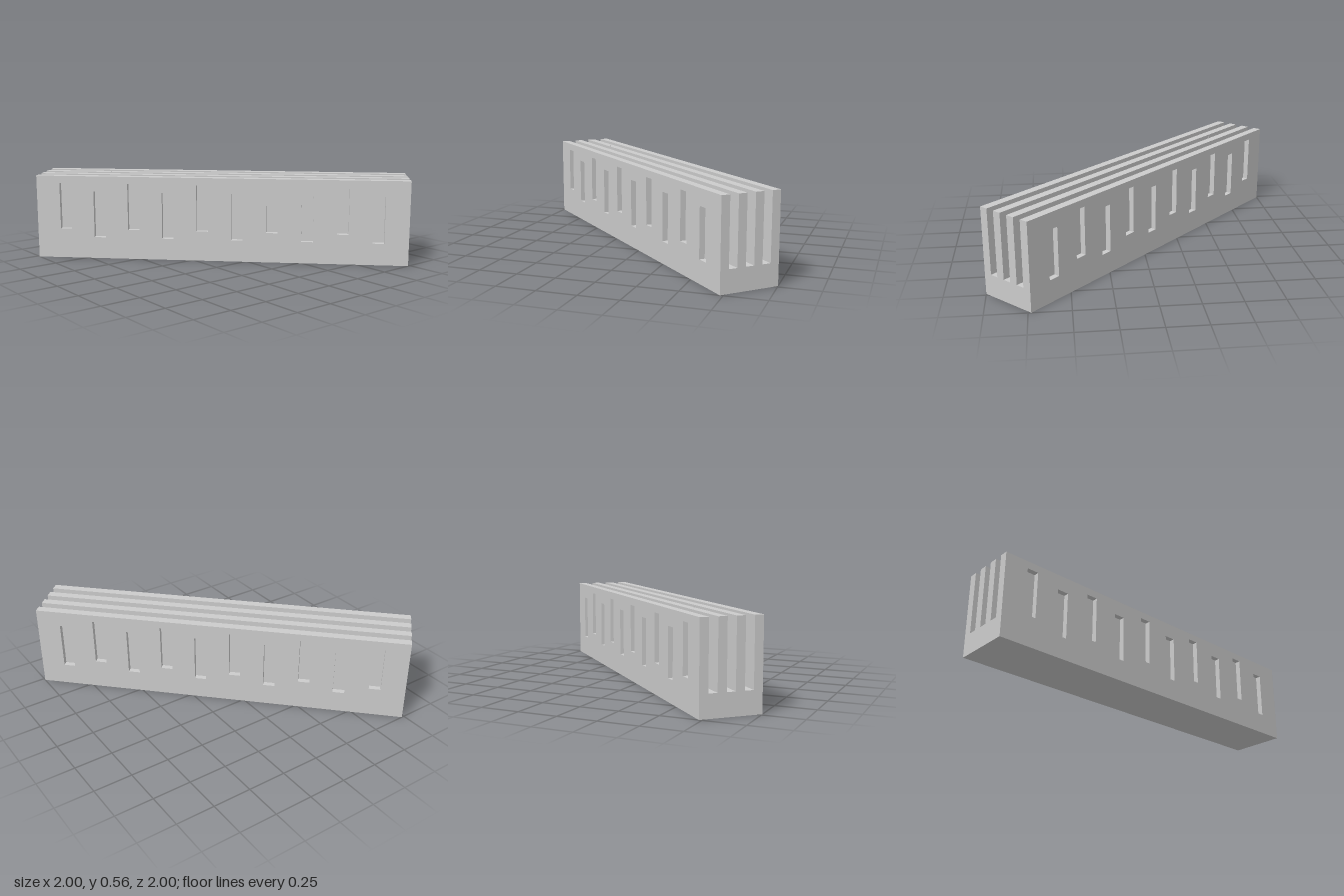
import * as THREE from 'three';

const LENGTH = 2.449, WIDTH = 0.379, HEIGHT = 0.553;
const FLOOR = 0.14;        // top of the solid base
const STRIP = WIDTH / 7;   // four walls and three grooves of equal width
const RECESS = 0.036;      // depth of the side pockets

export function createModel() {
  const material = new THREE.MeshStandardMaterial({ color: 0xcccccc, flatShading: true });
  const model = new THREE.Group();
  model.name = 'finnedBlock';

  const add = (name, geometry) => {
    const mesh = new THREE.Mesh(geometry, material);
    mesh.name = name;
    model.add(mesh);
    return mesh;
  };

  // Comb-shaped core: base with four upright walls
  const half = WIDTH / 2, inner = half - RECESS;
  const comb = new THREE.Shape();
  comb.moveTo(-inner, 0);
  comb.lineTo(inner, 0);
  comb.lineTo(inner, HEIGHT);
  for (let i = 2; i >= 0; i--) {
    const left = -half + STRIP * (2 * i + 1), right = left + STRIP;
    comb.lineTo(right, HEIGHT);
    comb.lineTo(right, FLOOR);
    comb.lineTo(left, FLOOR);
    comb.lineTo(left, HEIGHT);
  }
  comb.lineTo(-inner, HEIGHT);
  const core = new THREE.ExtrudeGeometry(comb, { depth: LENGTH, bevelEnabled: false });
  core.translate(0, 0, -LENGTH / 2);
  core.rotateY(-Math.PI / 2);
  add('groovedCore', core);

  // Side panels with ten staggered rectangular pockets
  const rect = (path, x0, y0, x1, y1) => {
    path.moveTo(x0, y0);
    path.lineTo(x1, y0);
    path.lineTo(x1, y1);
    path.lineTo(x0, y1);
    path.closePath();
    return path;
  };
  const panel = rect(new THREE.Shape(), -LENGTH / 2, 0, LENGTH / 2, HEIGHT);
  for (let i = 0; i < 10; i++) {
    const x = (i - 4.5) * 0.229;
    const y = i % 2 ? 0.143 : 0.197;
    panel.holes.push(rect(new THREE.Path(), x - 0.038, y, x + 0.038, y + 0.308));
  }
  const skin = new THREE.ExtrudeGeometry(panel, { depth: RECESS, bevelEnabled: false });
  add('frontPanel', skin).position.z = inner;
  add('backPanel', skin).position.z = -half;

  // Tiny burr on the edge of an inner wall
  add('burr', new THREE.BoxGeometry(0.004, 0.024, 0.004)).position.set(-0.767, HEIGHT, -STRIP / 2 - 0.002);

  // The block lies diagonally
  model.rotation.y = Math.PI / 4;
  return model;
}
